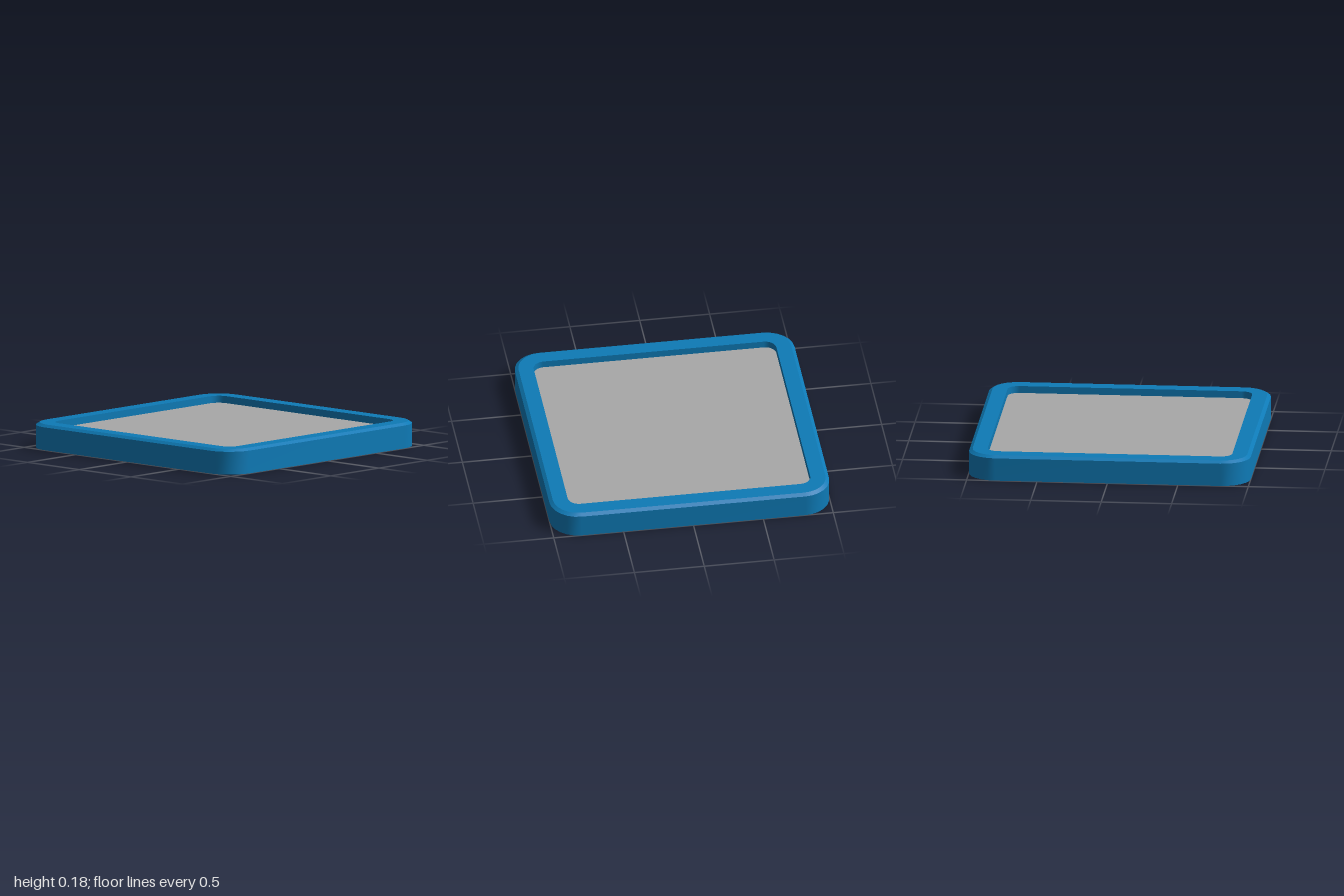
import * as THREE from 'three';
import { mergeGeometries } from 'three/addons/utils/BufferGeometryUtils.js';

const CORNER_SEGMENTS = 6;

// Points of a rounded square, running from +x towards +z
function roundedSquare(half, radius) {
  const points = [];
  for (let corner = 0; corner < 4; corner++) {
    const mid = (corner + 0.5) * Math.PI / 2;
    const cx = Math.sign(Math.cos(mid)) * (half - radius);
    const cz = Math.sign(Math.sin(mid)) * (half - radius);
    for (let i = 0; i <= CORNER_SEGMENTS; i++) {
      const a = (corner + i / CORNER_SEGMENTS) * Math.PI / 2;
      points.push(new THREE.Vector2(cx + radius * Math.cos(a), cz + radius * Math.sin(a)));
    }
  }
  return points;
}

// Closed strip between two rounded squares, smooth around the corners
function band(lower, upper) {
  const positions = [];
  const index = [];
  for (const [half, radius, y] of [lower, upper]) {
    for (const p of roundedSquare(half, radius)) positions.push(p.x, y, p.y);
  }
  const n = positions.length / 6;
  for (let i = 0; i < n; i++) {
    const j = (i + 1) % n;
    index.push(i, n + i, j, j, n + i, n + j);
  }
  const geometry = new THREE.BufferGeometry();
  geometry.setAttribute('position', new THREE.Float32BufferAttribute(positions, 3));
  geometry.setIndex(index);
  geometry.computeVertexNormals();
  return geometry;
}

export function createModel() {
  const model = new THREE.Group();
  model.name = 'framedTile';

  const blue = new THREE.MeshStandardMaterial({ color: 0x0e7ab6, side: THREE.DoubleSide });
  blue.name = 'blue';
  const grey = new THREE.MeshStandardMaterial({ color: 0xa8a8a8, side: THREE.DoubleSide });
  grey.name = 'grey';

  // Thin open frame: outer wall, bevel, flat rim, inner lip [half, radius, y]
  const profile = [
    [1, 0.2, 0],
    [1, 0.2, 0.163],
    [0.975, 0.18, 0.18],
    [0.868, 0.08, 0.18],
    [0.868, 0.08, 0.11],
  ];
  const bands = profile.slice(1).map((loop, i) => band(profile[i], loop));
  const frame = new THREE.Mesh(mergeGeometries(bands), blue);
  frame.name = 'frame';
  model.add(frame);

  // Recessed panel inside the lip
  const panelGeometry = new THREE.ShapeGeometry(new THREE.Shape(roundedSquare(0.868, 0.08)));
  panelGeometry.rotateX(-Math.PI / 2);
  const panel = new THREE.Mesh(panelGeometry, grey);
  panel.name = 'panel';
  panel.position.y = 0.13;
  model.add(panel);

  return model;
}
